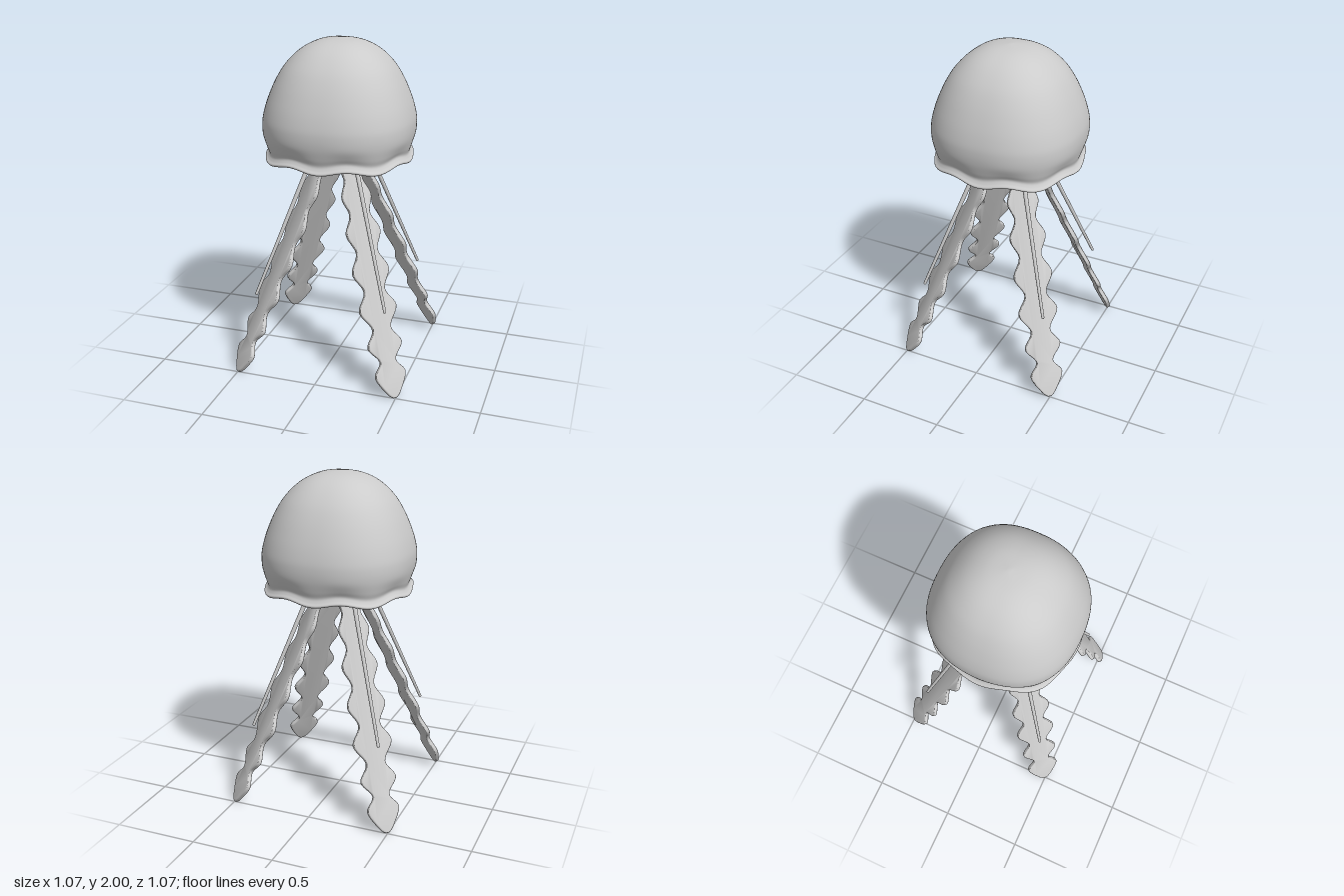
import * as THREE from 'three';
import { mergeVertices, toCreasedNormals } from 'three/addons/utils/BufferGeometryUtils.js';

const v2 = (p) => new THREE.Vector2(p[0], p[1]);

// Rounded-square bell: a lathe whose rings are squared off and whose rim ripples
function bellGeometry() {
  const dome = new THREE.SplineCurve([
    [0, 2], [0.12, 1.982], [0.22, 1.935], [0.305, 1.855], [0.365, 1.76], [0.412, 1.65],
    [0.438, 1.56], [0.445, 1.5], [0.441, 1.44], [0.425, 1.385], [0.412, 1.35],
    [0.42, 1.328], [0.433, 1.312], [0.425, 1.3], [0.4, 1.3], [0.375, 1.318],
    [0.35, 1.318], [0.31, 1.295], [0.2, 1.288], [0, 1.288],
  ].map(v2)).getPoints(100).reverse();
  dome.forEach((p) => { p.x = Math.max(p.x, 0); });
  dome[0].x = dome[dome.length - 1].x = 0;
  let geo = new THREE.LatheGeometry(dome, 96);
  const pos = geo.attributes.position;
  const n = 2.37;
  for (let i = 0; i < pos.count; i++) {
    const x = pos.getX(i), y = pos.getY(i), z = pos.getZ(i);
    const r = Math.hypot(x, z);
    if (r < 1e-5) continue;
    const a = Math.atan2(z, x);
    const square = Math.pow(Math.abs(x / r) ** n + Math.abs(z / r) ** n, -1 / n);
    const rim = THREE.MathUtils.smoothstep(r, 0.33, 0.41) * (1 - THREE.MathUtils.smoothstep(y, 1.32, 1.46));
    const wave = Math.cos(8 * a) * rim;
    const s = square * (1 + 0.012 * wave);
    pos.setXYZ(i, x * s, y - 0.011 * wave, z * s);
  }
  geo.deleteAttribute('uv');
  geo.deleteAttribute('normal');
  geo = mergeVertices(geo, 1e-5);
  geo.computeVertexNormals();
  return geo;
}

const TILT = Math.atan(0.32 * Math.SQRT2); // outward lean of the ribbon arms

// Thin ribbon with scalloped edges, hanging down from its own origin
function armGeometry() {
  const half = [
    [0.012, 0], [0.045, 0.03], [0.1, 0.125], [0.052, 0.2], [0.112, 0.285], [0.06, 0.375],
    [0.122, 0.48], [0.068, 0.58], [0.12, 0.685], [0.07, 0.79], [0.112, 0.895],
    [0.066, 0.995], [0.096, 1.09], [0.06, 1.18], [0.07, 1.24], [0.05, 1.3],
  ].map(([w, y]) => new THREE.Vector2(w, (y - 1.3) / Math.cos(TILT)));
  const edge = new THREE.SplineCurve(half).getPoints(90);
  const mirrored = edge.map((p) => new THREE.Vector2(-p.x, p.y)).reverse();
  const geo = new THREE.ExtrudeGeometry(new THREE.Shape([...edge, ...mirrored]), {
    depth: 0.01, bevelThickness: 0.009, bevelSize: 0.009, bevelOffset: -0.009, bevelSegments: 3,
  });
  geo.translate(0, 0, -0.005);
  return toCreasedNormals(geo, 0.8);
}

export function createModel() {
  const model = new THREE.Group();
  const material = new THREE.MeshStandardMaterial({ color: 0xcccccc });
  const add = (parent, name, geo) => {
    const mesh = new THREE.Mesh(geo, material);
    mesh.name = name;
    parent.add(mesh);
    return mesh;
  };

  add(model, 'bell', bellGeometry());

  // Ring of soft lumps under the bell, larger on the axes than on the diagonals
  const ball = new THREE.SphereGeometry(1, 28, 18);
  for (let i = 0; i < 8; i++) {
    const a = (i * Math.PI) / 4;
    const big = i % 2 === 0;
    const r = big ? 0.235 : 0.29;
    const lump = add(model, 'undersideLump', ball);
    lump.position.set(Math.sin(a) * r, 1.287, Math.cos(a) * r);
    lump.rotation.y = a;
    lump.scale.set(big ? 0.09 : 0.068, big ? 0.04 : 0.033, big ? 0.075 : 0.06);
  }

  // One ribbon arm and one thin tentacle on each diagonal
  const ribbon = armGeometry();
  const top = new THREE.Vector3(0, 1.3, 0.133 * Math.SQRT2);
  const tip = new THREE.Vector3(0, 0.495, 0.4 * Math.SQRT2);
  const length = top.distanceTo(tip);
  const rod = new THREE.CylinderGeometry(0.014, 0.009, length, 14);
  const end = new THREE.SphereGeometry(0.009, 14, 10);
  for (let i = 0; i < 4; i++) {
    const limb = new THREE.Group();
    limb.name = 'limbPair';
    limb.rotation.y = Math.PI / 4 + (i * Math.PI) / 2;

    const arm = add(limb, 'ribbonArm', ribbon);
    arm.position.set(0, 1.3, 0.08 * Math.SQRT2);
    arm.rotation.x = -TILT;

    const tentacle = add(limb, 'tentacle', rod);
    tentacle.position.copy(top).lerp(tip, 0.5);
    tentacle.rotation.x = -Math.atan2(tip.z - top.z, top.y - tip.y);
    add(limb, 'tentacleTip', end).position.copy(tip);
    model.add(limb);
  }
  return model;
}
